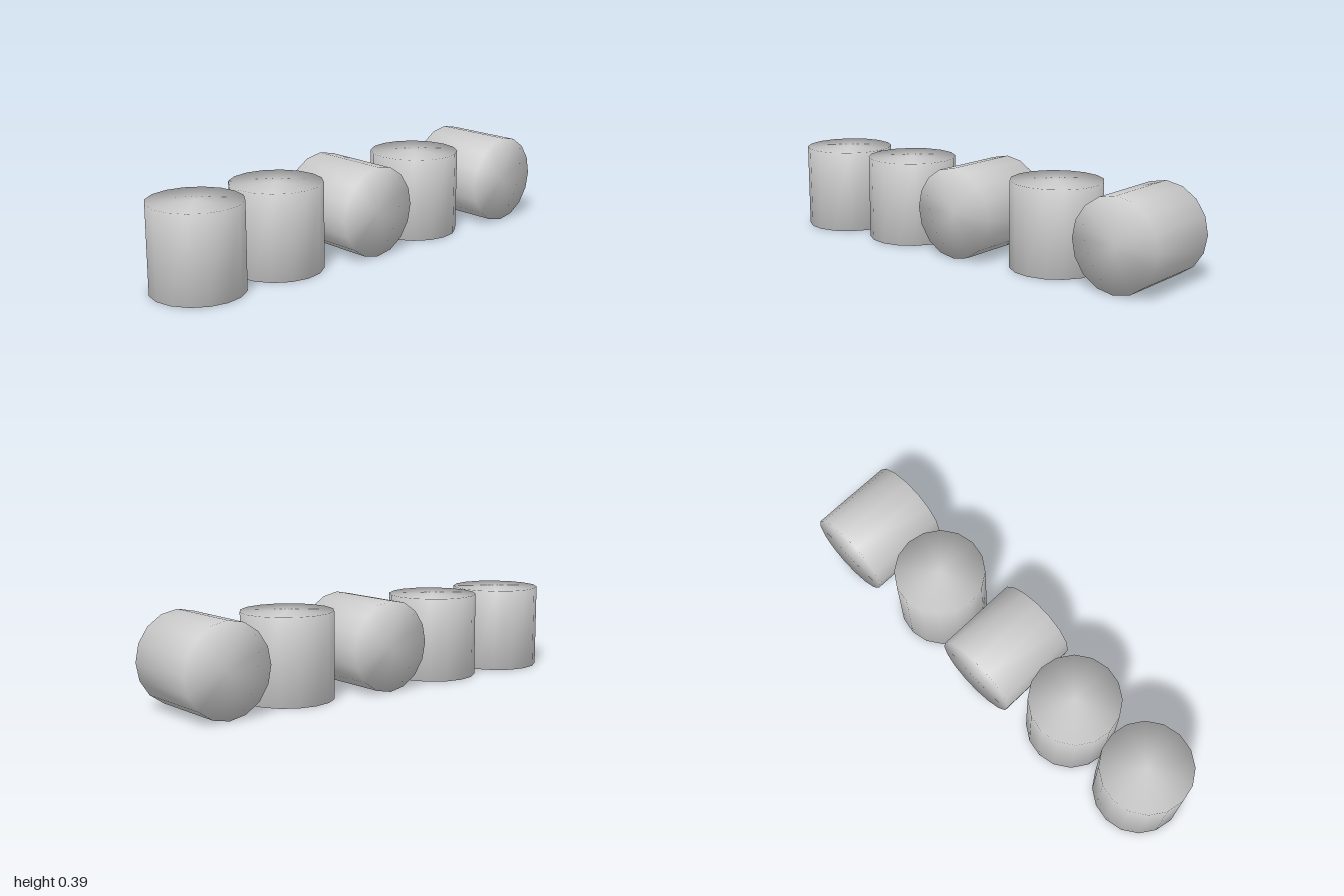
import * as THREE from 'three';
import { mergeVertices } from 'three/addons/utils/BufferGeometryUtils.js';

const RADIUS = 0.195, LENGTH = 0.367, PITCH = 0.4025;

// 16-sided capped cylinder with normals smoothed across the rims
function smoothCylinder() {
  const g = new THREE.CylinderGeometry(RADIUS, RADIUS, LENGTH, 16);
  g.deleteAttribute('normal');
  g.deleteAttribute('uv');
  g.clearGroups();
  const merged = mergeVertices(g, 1e-4);
  merged.computeVertexNormals();
  return merged;
}

export function createModel() {
  const group = new THREE.Group();
  group.name = 'cylinderRow';
  const grey = new THREE.MeshStandardMaterial({ color: 0xcccccc });
  grey.name = 'light grey';
  const geometry = smoothCylinder();

  // Row from -x to +x: some stand upright, some lie along z
  const lying = [false, false, true, false, true];
  lying.forEach((isLying, i) => {
    const mesh = new THREE.Mesh(geometry, grey);
    mesh.name = (isLying ? 'lyingCylinder' : 'standingCylinder') + (i + 1);
    mesh.position.set((i - 2) * PITCH, isLying ? RADIUS : LENGTH / 2, 0);
    if (isLying) mesh.rotation.x = Math.PI / 2;
    group.add(mesh);
  });
  return group;
}
